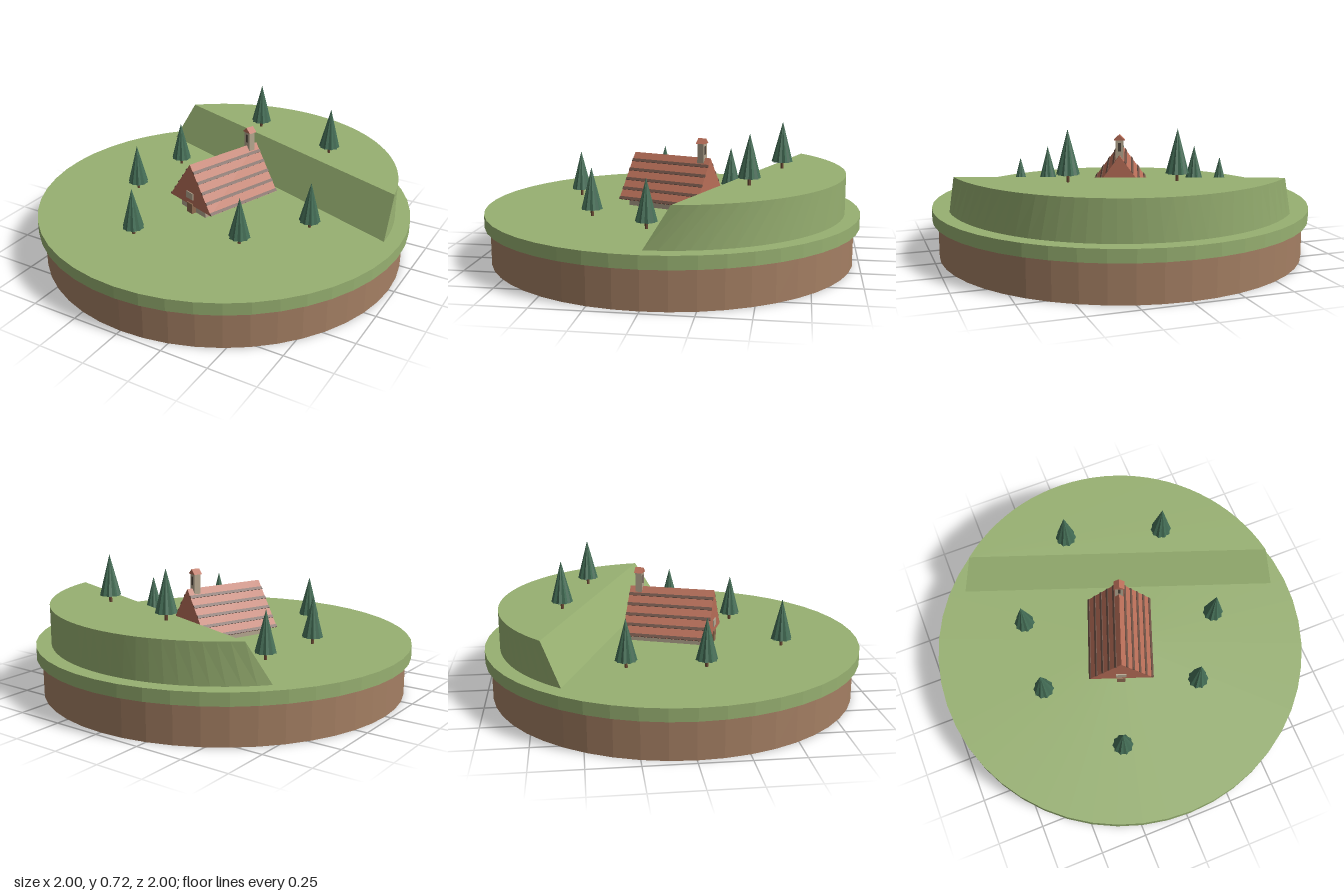
import * as THREE from 'three';

const mat = (name, color) => {
  const m = new THREE.MeshStandardMaterial({ color, flatShading: true });
  m.name = name;
  return m;
};

export function createModel() {
  const model = new THREE.Group();
  const grass = mat('grass', 0x97b071);
  const earth = mat('earth', 0xa47f63);
  const roofRed = mat('roof red', 0xb86e58);
  const roofDark = mat('roof batten', 0x6e5145);
  const plaster = mat('plaster', 0xb5a68f);
  const wood = mat('door wood', 0x8f6b50);
  const dark = mat('dark opening', 0x4f463c);
  const needles = mat('pine needles', 0x456f57);
  const bark = mat('bark', 0x6b4a35);

  const add = (parent, name, geo, material, x = 0, y = 0, z = 0) => {
    const m = new THREE.Mesh(geo, material);
    m.name = name;
    m.position.set(x, y, z);
    parent.add(m);
    return m;
  };
  const box = (w, h, d) => new THREE.BoxGeometry(w, h, d);

  // Prism with a gable facing z, its base on y = 0
  const gable = (halfW, h, depth) => {
    const s = new THREE.Shape([
      new THREE.Vector2(-halfW, 0), new THREE.Vector2(halfW, 0), new THREE.Vector2(0, h),
    ]);
    return new THREE.ExtrudeGeometry(s, { depth, bevelEnabled: false }).translate(0, 0, -depth / 2);
  };

  // Round ground
  const ground = 0.265, hillTop = 0.47;
  add(model, 'earthBase', new THREE.CylinderGeometry(0.97, 0.97, 0.2, 48), earth, 0, 0.1, 0);
  add(model, 'grassDisc', new THREE.CylinderGeometry(1, 1, 0.065, 48), grass, 0, 0.2325, 0);

  // House and terrace share one turned frame
  const site = new THREE.Group();
  site.name = 'turnedSite';
  site.rotation.y = -Math.PI / 9;
  model.add(site);

  // Terrace: circle segment with a steep bank along its chord
  const N = 32, R = 0.92;
  const arc = (chord, y) => {
    const a = Math.acos(chord / R);
    return Array.from({ length: N + 1 }, (_, i) => {
      const t = -a + (2 * a * i) / N;
      return [R * Math.sin(t), y, -R * Math.cos(t)];
    });
  };
  const low = arc(0.32, ground), high = arc(0.435, hillTop);
  const pos = [];
  for (let i = 0; i <= N; i++) {
    const j = (i + 1) % (N + 1);
    pos.push(...low[i], ...high[i], ...low[j], ...low[j], ...high[i], ...high[j]);
    if (i > 0 && i < N) pos.push(...high[0], ...high[j], ...high[i]);
  }
  const terrace = new THREE.BufferGeometry();
  terrace.setAttribute('position', new THREE.Float32BufferAttribute(pos, 3));
  terrace.computeVertexNormals();
  add(site, 'terrace', terrace, grass);

  // House
  const house = new THREE.Group();
  house.name = 'house';
  site.add(house);
  const eave = 0.31, ridge = 0.542, halfW = 0.172, length = 0.46;
  const rise = ridge - eave;
  add(house, 'walls', box(0.2, 0.06, 0.42), plaster, 0, 0.29, 0);
  add(house, 'roof', gable(halfW, rise, length), roofRed, 0, eave, 0);
  const slope = Math.atan2(rise, halfW);
  for (const s of [-1, 1]) {
    for (let k = 1; k <= 5; k++) {
      const t = k * 0.2 - 0.03;
      const b = add(house, 'roofBatten', box(0.016, 0.008, length), roofDark,
        s * halfW * t, ridge - rise * t, 0);
      b.rotation.z = -s * slope;
    }
  }
  add(house, 'door', box(0.045, 0.057, 0.03), wood, 0, 0.293, 0.222);
  add(house, 'gableWindow', box(0.056, 0.038, 0.008), plaster, 0, 0.365, 0.232);

  // Small ridge turret with its own roof
  const turret = new THREE.Group();
  turret.name = 'ridgeTurret';
  turret.position.set(0, 0, -0.18);
  house.add(turret);
  add(turret, 'turretBody', box(0.042, 0.12, 0.036), plaster, 0, 0.56, 0);
  add(turret, 'turretRoof', gable(0.029, 0.027, 0.046), roofRed, 0, 0.618, 0);
  for (const s of [-1, 1]) {
    add(turret, 'turretOpening', box(0.014, 0.045, 0.004), dark, 0, 0.582, s * 0.018);
  }

  // Pleated pine trees
  const sides = 20;
  const crown = new THREE.ConeGeometry(0.056, 0.215, sides);
  const p = crown.attributes.position;
  for (let i = 0; i < p.count; i++) {
    const k = Math.round((Math.atan2(p.getX(i), p.getZ(i)) / (2 * Math.PI)) * sides);
    const f = k % 2 ? 0.87 : 1;
    p.setXYZ(i, p.getX(i) * f, p.getY(i), p.getZ(i) * f);
  }
  crown.computeVertexNormals();
  const trunk = new THREE.CylinderGeometry(0.008, 0.008, 0.05, 8);
  const spots = [
    [-0.085, -0.585, hillTop], [0.415, -0.44, hillTop], [-0.455, -0.28, ground],
    [-0.487, 0.115, ground], [0.305, 0.37, ground], [-0.205, 0.555, ground], [0.535, 0.045, ground],
  ];
  for (const [x, z, y] of spots) {
    const tree = new THREE.Group();
    tree.name = 'pineTree';
    tree.position.set(x, y, z);
    add(tree, 'trunk', trunk, bark, 0, 0.02, 0);
    add(tree, 'crown', crown, needles, 0, 0.145, 0);
    model.add(tree);
  }
  return model;
}
